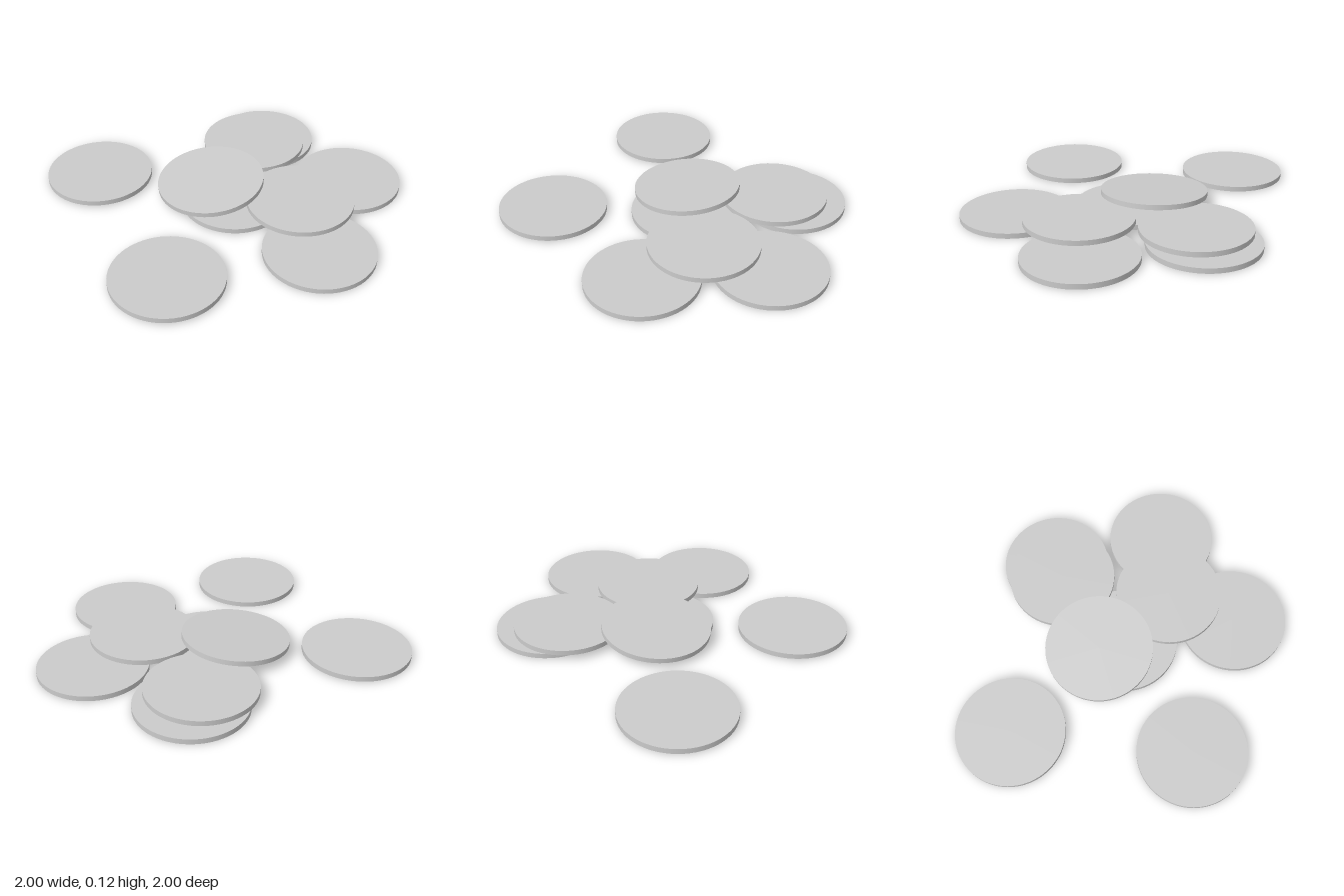
import * as THREE from 'three';

export function createModel() {
  const model = new THREE.Group();
  model.name = 'scatteredDiscs';
  const material = new THREE.MeshStandardMaterial({ color: 0xcccccc });
  const geometry = new THREE.CylinderGeometry(0.317, 0.317, 0.03, 64);

  function addDisc(name, x, y, z, tiltX = 0, tiltZ = 0) {
    const disc = new THREE.Mesh(geometry, material);
    disc.name = name;
    disc.position.set(x, y, z);
    disc.rotation.set(tiltX, 0, tiltZ);
    model.add(disc);
  }

  // Discs lying on the ground, the two front ones barely tilted
  addDisc('frontRightDisc', -0.683, 0.022, 0.465, -0.008, 0.008);
  addDisc('frontLeftDisc', 0.34, 0.023, 0.68, -0.016, 0.008);
  addDisc('leftDisc', 0.683, 0.016, -0.1);
  addDisc('backLeftDisc', 0.315, 0.016, -0.683);
  addDisc('backRightDisc', -0.345, 0.016, -0.57);
  addDisc('middleDisc', 0.02, 0.016, -0.035);

  // Discs resting on the first layer
  addDisc('upperRightDisc', -0.317, 0.054, -0.465);
  addDisc('upperLeftDisc', 0.315, 0.054, -0.29);

  // Top disc leaning back on the pile
  addDisc('topLeaningDisc', -0.133, 0.077, 0.025, 0.085, 0.025);

  return model;
}
